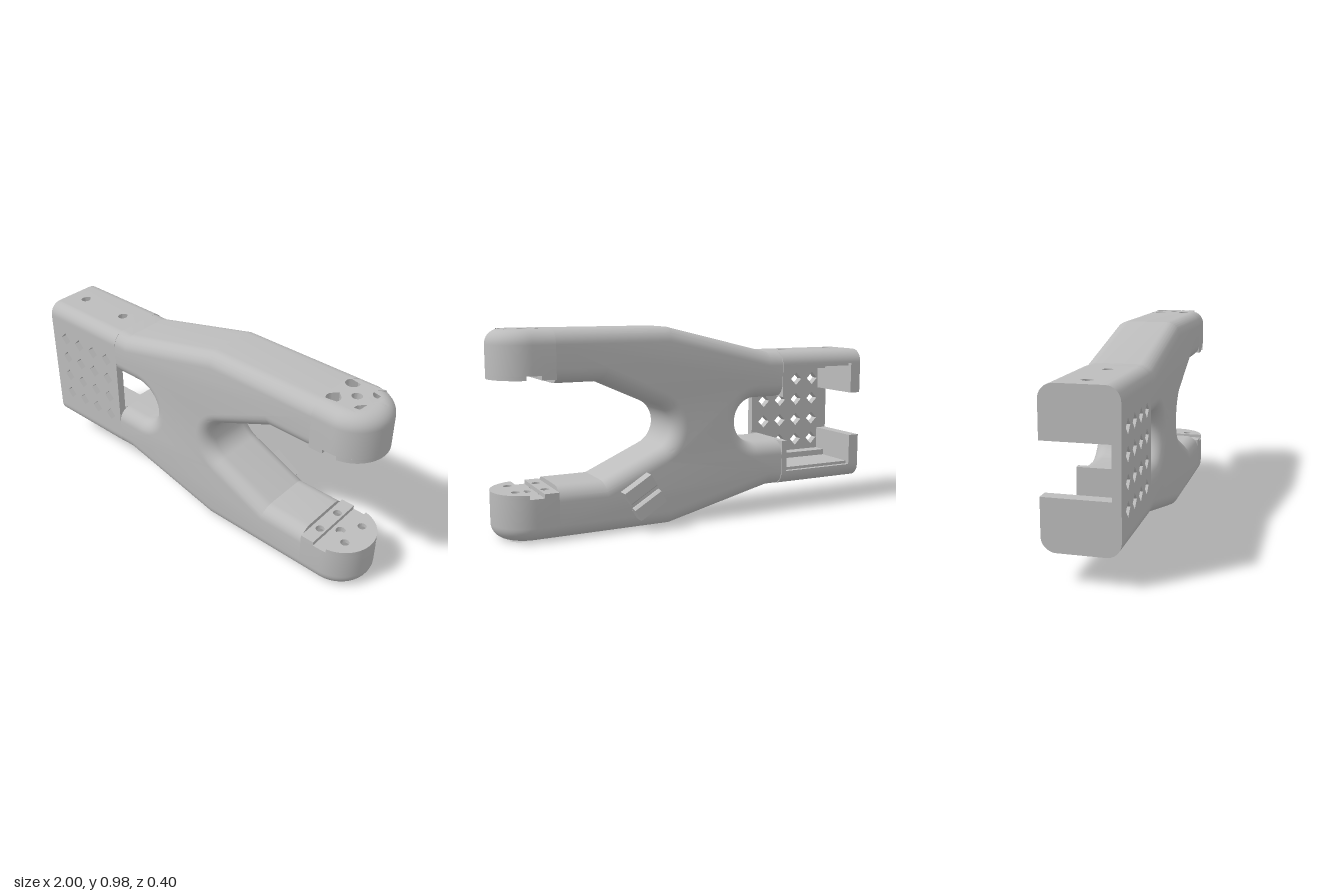
import * as THREE from 'three';
import { toCreasedNormals } from 'three/addons/utils/BufferGeometryUtils.js';

const CY = 0.493; // height of the symmetry plane
const CZ = 0.03;  // middle of the body depth
const HALF = 0.17; // half of the body depth
const TIP = 0.83; // centre of the rounded arm tips

const grey = new THREE.MeshStandardMaterial({ color: 0xbcbcbc });
grey.name = 'grey plastic';

const shapeOf = (pts) => new THREE.Shape(pts.map(([x, y]) => new THREE.Vector2(x, y)));

function arc(cx, cy, r, a0, a1, n) {
  return Array.from({ length: n + 1 }, (_, i) => {
    const a = a0 + ((a1 - a0) * i) / n;
    return [cx + r * Math.cos(a), cy + r * Math.sin(a)];
  });
}

// Mirror a non-indexed geometry in y and keep its faces outward
function mirrorY(geo) {
  const g = geo.clone();
  const p = g.attributes.position;
  const a = new THREE.Vector3(), b = new THREE.Vector3();
  for (let i = 0; i < p.count; i++) p.setY(i, -p.getY(i));
  for (let i = 0; i < p.count; i += 3) {
    a.fromBufferAttribute(p, i + 1);
    b.fromBufferAttribute(p, i + 2);
    p.setXYZ(i + 1, b.x, b.y, b.z);
    p.setXYZ(i + 2, a.x, a.y, a.z);
  }
  return g;
}

// Plate lying in x and depth, from y0 up to y1, with its outer top edge rounded by r
function slab(shape, y0, y1, r = 0) {
  const steps = r ? 10 : 1;
  const geo = new THREE.ExtrudeGeometry(shape, { depth: steps, steps, bevelEnabled: false, curveSegments: 32 });
  const p = geo.attributes.position;
  for (let i = 0; i < p.count; i++) {
    let x = p.getX(i), s = p.getY(i);
    const k = Math.round(p.getZ(i));
    let y = k ? y1 : y0;
    if (r && k) {
      const a = ((k - 1) / (steps - 1)) * Math.PI / 2;
      y = y1 - r + r * Math.sin(a);
      const f = 1 - (r * (1 - Math.cos(a))) / HALF;
      if (Math.abs(s) > 0.165 || (x > TIP && Math.hypot(x - TIP, s) > 0.165)) {
        s *= f;
        if (x > TIP) x = TIP + (x - TIP) * f;
      }
    }
    p.setXYZ(i, x, y, CZ - s);
  }
  return geo;
}

// Round hole drawn out to a point towards the back
function teardrop(x, s, r) {
  const pts = arc(x, s, r, Math.PI * 0.75, Math.PI * 2.25, 28);
  pts.push([x, s + r * 1.4]);
  return new THREE.Path(pts.map(([u, v]) => new THREE.Vector2(u, v)));
}

export function createModel() {
  const model = new THREE.Group();
  model.name = 'forkedArm';
  const body = new THREE.Group();
  body.name = 'body';
  body.position.y = CY;
  model.add(body);

  const add = (name, geo, parent = body) => {
    const mesh = new THREE.Mesh(toCreasedNormals(geo, 0.22), grey);
    mesh.name = name;
    parent.add(mesh);
    return mesh;
  };
  const addPair = (name, geo) => {
    const g = geo.index ? geo.toNonIndexed() : geo;
    add(name + 'Upper', g);
    add(name + 'Lower', mirrorY(g));
  };
  const box = (x0, x1, y0, y1, z0, z1) =>
    new THREE.BoxGeometry(x1 - x0, y1 - y0, z1 - z0).translate((x0 + x1) / 2, (y0 + y1) / 2, (z0 + z1) / 2);

  // Forked main body: rounded edges, cut flat where the block and the tips join
  const upper = [
    ...arc(-0.355, 0, 0.117, 0, Math.PI / 2, 12),
    [-0.57, 0.117], [-0.57, 0.352], [-0.43, 0.352], [0.14, 0.49],
    [0.79, 0.49], [0.79, 0.24], [0.49, 0.24],
    ...arc(0.245, 0, 0.12, Math.PI * 0.633, Math.PI, 10),
  ];
  upper[upper.length - 1][1] = 0;
  const lower = upper.slice(1, -1).reverse().map(([x, y]) => [x, -y]);
  const R = 0.07;
  const fork = new THREE.ExtrudeGeometry(shapeOf([...upper, ...lower]), {
    depth: 2 * HALF - 2 * R, bevelThickness: R, bevelSize: R, bevelOffset: -R, bevelSegments: 9,
  });
  fork.translate(0, 0, CZ - HALF + R);
  const fp = fork.attributes.position;
  for (let i = 0; i < fp.count; i++) fp.setX(i, THREE.MathUtils.clamp(fp.getX(i), -0.5, 0.72));
  add('forkedBody', fork);

  // Rounded arm tips with screw holes
  const corners = [[0.76, 0.0725], [0.76, -0.0725], [0.9, 0.0725], [0.9, -0.0725]];
  const tip = shapeOf([[0.72, -HALF], ...arc(TIP, 0, HALF, -Math.PI / 2, Math.PI / 2, 32), [0.72, HALF]]);
  corners.forEach(([x, s]) => tip.holes.push(teardrop(x, s, 0.033)));
  tip.holes.push(new THREE.Path().absarc(TIP, 0, 0.024, 0, Math.PI * 2));
  addPair('armTip', slab(tip, 0.282, 0.49, R));
  addPair('tipHolePlug', new THREE.CylinderGeometry(0.026, 0.026, 0.1, 24).translate(TIP, 0.36, CZ));

  // Seat pads on the inside of the tips, either side of a groove
  const a = Math.acos(0.03 / HALF);
  const pads = [
    shapeOf([[0.72, -HALF], [0.79, -HALF], [0.79, HALF], [0.72, HALF]]),
    shapeOf(arc(TIP, 0, HALF, -a, a, 28)),
  ];
  pads.forEach((pad, i) => {
    corners.slice(i * 2, i * 2 + 2).forEach(([x, s]) =>
      pad.holes.push(new THREE.Path().absarc(x, s, 0.021, 0, Math.PI * 2)));
    addPair(i ? 'outerPad' : 'innerPad', slab(pad, 0.262, 0.282));
  });

  // Hollow block: top and bottom walls with screw holes
  const wall = shapeOf([[-1, -HALF], [-0.5, -HALF], [-0.5, HALF + 0.004], [-1, HALF + 0.004]]);
  [-0.9, -0.61].forEach((x) => wall.holes.push(teardrop(x, -0.005, 0.024)));
  addPair('blockWall', slab(wall, 0.28, 0.352, 0.066));

  // Pocket lining, end stubs, inner rails and ledges
  addPair('pocketFloor', box(-0.945, -0.525, 0.265, 0.285, -0.12, 0.165));
  addPair('endStub', box(-1, -0.94, 0.117, 0.281, -0.144, 0.161));
  addPair('pocketRail', box(-0.53, -0.5, 0.117, 0.281, -0.144, 0.161));
  addPair('pocketLedge', box(-0.94, -0.53, 0.235, 0.266, 0.09, 0.161));

  // Front plate with a grid of diamond openings
  const plate = shapeOf([[-1, -0.281], [-0.5, -0.281], [-0.5, 0.281], [-1, 0.281]]);
  const d = 0.035;
  for (const x of [-0.9, -0.792, -0.684, -0.577]) {
    for (const y of [-0.173, -0.058, 0.058, 0.173]) {
      plate.holes.push(shapeOf([[x - d, y], [x, y - d], [x + d, y], [x, y + d]]));
    }
  }
  const plateGeo = new THREE.ExtrudeGeometry(plate, { depth: 0.04, bevelEnabled: false });
  add('frontPlate', plateGeo.translate(0, 0, 0.16));

  // Cable clip on the back of the lower arm: two facing jaws
  const clip = new THREE.Group();
  clip.name = 'cableClip';
  clip.position.set(0.305, 0.172, -0.135);
  clip.rotation.z = -0.54;
  model.add(clip);
  const jaw = shapeOf([[0, 0.03], [0, 0.082], [0.06, 0.082], [0.06, 0.02], [0.045, 0.01], [0.035, 0.01], [0.015, 0.03]]);
  const jawGeo = new THREE.ExtrudeGeometry(jaw, { depth: 0.16, bevelEnabled: false });
  jawGeo.translate(0, 0, -0.08).rotateY(Math.PI / 2);
  add('upperJaw', jawGeo, clip);
  add('lowerJaw', mirrorY(jawGeo), clip);

  return model;
}
